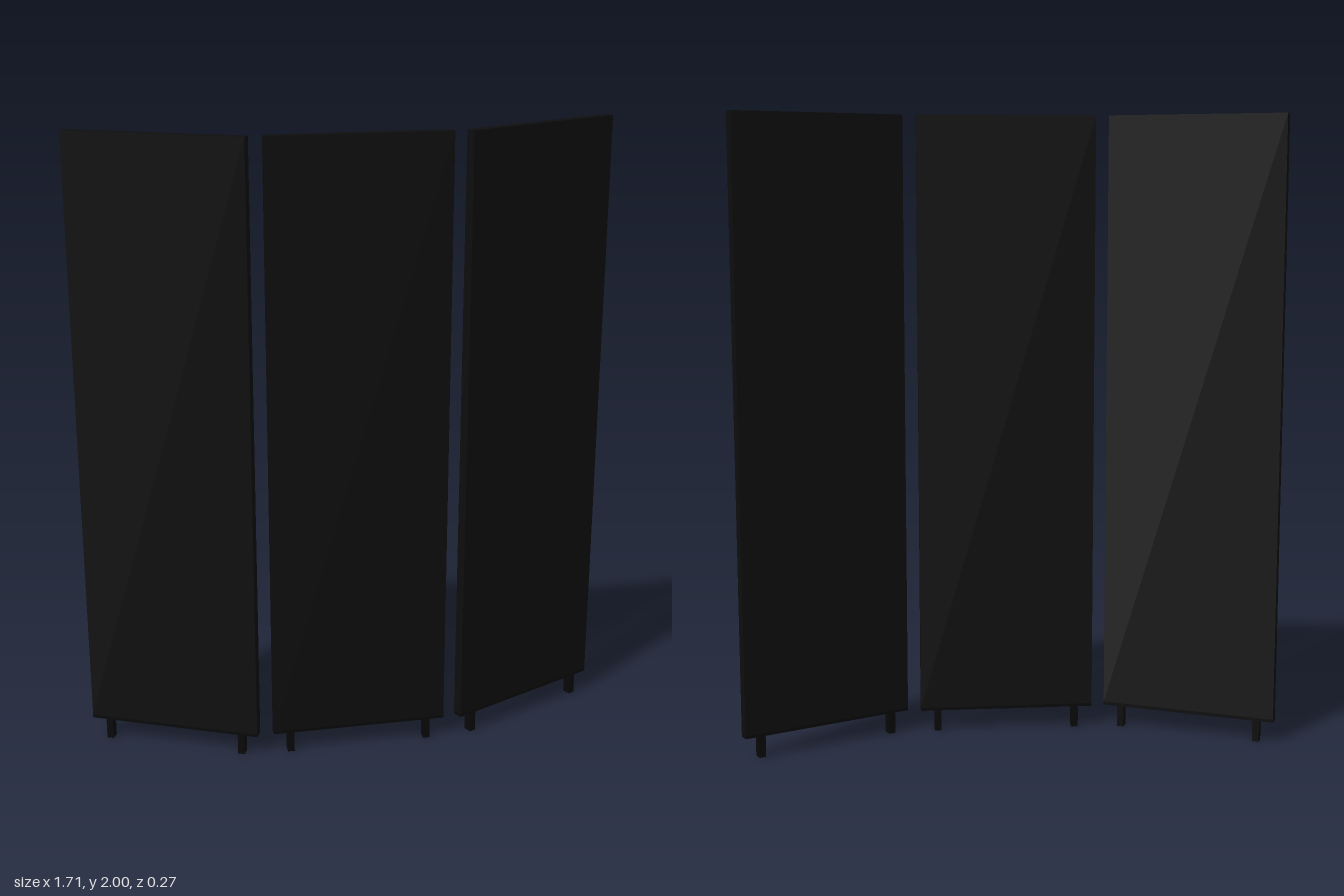
import * as THREE from 'three';

const WIDTH = 0.567, THICK = 0.034, TOP = 2, LEG = 0.07, RAIL = 0.01;

export function createModel() {
  const model = new THREE.Group();
  model.name = 'foldingScreen';
  const black = new THREE.MeshStandardMaterial({ color: 0x0d0d0d });
  black.name = 'panel black';
  const dark = new THREE.MeshStandardMaterial({ color: 0x080808 });
  dark.name = 'leg black';

  // Box standing on a given height
  function box(parent, name, w, h, d, x, y, material) {
    const mesh = new THREE.Mesh(new THREE.BoxGeometry(w, h, d), material);
    mesh.name = name;
    mesh.position.set(x, y + h / 2, 0);
    parent.add(mesh);
  }

  // One upright panel with its bottom rail and two short legs
  function addPanel(name, x, z, angle) {
    const panel = new THREE.Group();
    panel.name = name;
    box(panel, 'board', WIDTH, TOP - LEG - RAIL, THICK, 0, LEG + RAIL, black);
    box(panel, 'bottomRail', WIDTH, RAIL, THICK, 0, LEG, dark);
    for (const side of [-1, 1]) {
      box(panel, side > 0 ? 'leftLeg' : 'rightLeg', 0.022, LEG, 0.028, side * 0.227, 0, dark);
    }
    panel.position.set(x, 0, z);
    panel.rotation.y = angle;
    model.add(panel);
  }

  // Centre panel forward, wings angled back
  const fold = THREE.MathUtils.degToRad(25);
  addPanel('centrePanel', 0, 0.11, 0);
  addPanel('leftPanel', 0.59, 0, fold);
  addPanel('rightPanel', -0.59, 0, -fold);
  return model;
}
